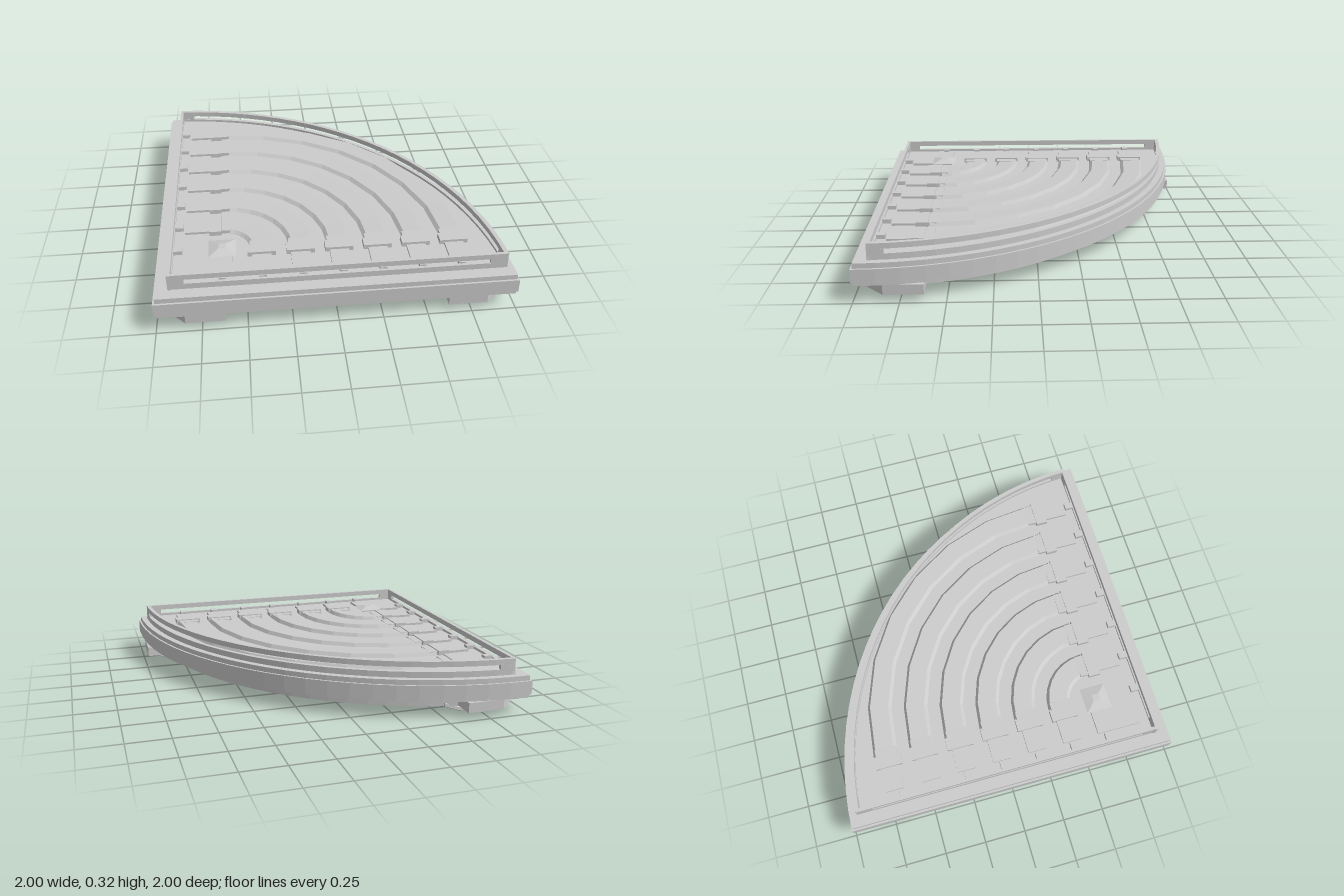
import * as THREE from 'three';

const flat = new THREE.MeshStandardMaterial({ color: 0xcccccc, flatShading: true });
const smooth = new THREE.MeshStandardMaterial({ color: 0xcccccc });

// Quarter disc outline: corner at (-1, z 1), straight sides inset by s, arc radius R
function quarter(s, R, n = 24) {
  const a = Math.asin(s / R), pts = [new THREE.Vector2(-1 + s, -1 + s)];
  for (let i = 0; i <= n; i++) {
    const t = a + (Math.PI / 2 - 2 * a) * i / n;
    pts.push(new THREE.Vector2(-1 + R * Math.cos(t), -1 + R * Math.sin(t)));
  }
  return pts;
}

// Curved strip outline between two radii
function arcStrip(r0, r1, a0, a1, n = 24) {
  const pts = [];
  for (let j = 0; j < 2; j++) {
    for (let i = 0; i <= n; i++) {
      const t = a0 + (a1 - a0) * (j ? n - i : i) / n, r = j ? r0 : r1;
      pts.push(new THREE.Vector2(-1 + r * Math.cos(t), -1 + r * Math.sin(t)));
    }
  }
  return pts;
}

export function createModel() {
  const model = new THREE.Group();

  function add(parent, name, geometry, material = flat) {
    const mesh = new THREE.Mesh(geometry, material);
    mesh.name = name;
    parent.add(mesh);
    return mesh;
  }

  // Horizontal slab from y0 to y1
  function slab(name, outline, y0, y1, hole) {
    const shape = new THREE.Shape(outline);
    if (hole) shape.holes.push(new THREE.Path(hole));
    const g = new THREE.ExtrudeGeometry(shape, { depth: y1 - y0, bevelEnabled: false });
    g.rotateX(-Math.PI / 2).translate(0, y0, 0);
    return add(model, name, g);
  }

  function box(parent, name, x0, x1, y0, y1, z0, z1) {
    const g = new THREE.BoxGeometry(x1 - x0, y1 - y0, z1 - z0);
    g.translate((x0 + x1) / 2, (y0 + y1) / 2, (z0 + z1) / 2);
    return add(parent, name, g);
  }

  // Box plus its copy across the diagonal of the quarter
  function boxPair(parent, name, x0, x1, y0, y1, z0, z1) {
    box(parent, name, x0, x1, y0, y1, z0, z1);
    box(parent, name, -z1, -z0, y0, y1, -x1, -x0);
  }

  // Stacked body
  slab('bottomFrame', quarter(0.09, 1.89), 0.037, 0.062, quarter(0.31, 1.72));
  slab('recessedCore', quarter(0.13, 1.85), 0.062, 0.1);
  slab('bandLip', quarter(0.008, 1.992), 0.1, 0.12);
  slab('band', quarter(0, 2), 0.12, 0.2);
  slab('ledge', quarter(0.012, 1.988), 0.2, 0.23);
  slab('floor', quarter(0.09, 1.94), 0.23, 0.25);

  // Slotted straight walls
  const wall = new THREE.Shape();
  wall.moveTo(-0.92, 0.23).lineTo(0.95, 0.23).lineTo(0.94, 0.325).lineTo(-0.92, 0.325);
  const slot = new THREE.Path();
  slot.moveTo(-0.83, 0.265).lineTo(-0.83, 0.293).lineTo(0.85, 0.293).lineTo(0.85, 0.265);
  wall.holes.push(slot);
  const wallGeometry = new THREE.ExtrudeGeometry(wall, { depth: 0.018, bevelEnabled: false });
  add(model, 'frontWall', wallGeometry).position.z = 0.898;
  const sideWall = add(model, 'sideWall', wallGeometry.clone());
  sideWall.rotation.y = Math.PI / 2;
  sideWall.position.x = -0.917;

  // Curved wall: two rails joined by end posts
  const a0 = 0.045, a1 = Math.PI / 2 - a0;
  slab('curvedLowerRail', arcStrip(1.925, 1.95, a0, a1), 0.23, 0.265);
  slab('curvedUpperRail', arcStrip(1.925, 1.95, a0, a1), 0.293, 0.325);
  slab('curvedWallPost', arcStrip(1.925, 1.95, a0, 0.09, 2), 0.265, 0.293);
  slab('curvedWallPost', arcStrip(1.925, 1.95, a1 - 0.045, a1, 2), 0.265, 0.293);

  // Concentric ribs with a mount at each end
  const ribs = new THREE.Group();
  ribs.name = 'ribs';
  model.add(ribs);
  for (let k = 0; k <= 6; k++) {
    const r = 0.22 * k, z = 0.625 - r;
    boxPair(ribs, 'peg', -0.9, -0.85, 0.25, 0.274, z - 0.02, z + 0.02);
    if (k === 0) continue;
    const profile = [[0.075, 0.25], [0.06, 0.272], [-0.05, 0.268], [-0.07, 0.25]]
      .map(([d, y]) => new THREE.Vector2(r + d, y));
    const rib = new THREE.LatheGeometry(profile, 7, Math.PI / 2, Math.PI / 2);
    rib.translate(-0.62, 0, 0.62);
    add(ribs, 'rib', rib);
    boxPair(ribs, 'ribMount', -0.84, -0.69, 0.25, 0.264, z - 0.055, z + 0.055);
    boxPair(ribs, 'ribClamp', -0.7, -0.63, 0.25, 0.278, z - 0.08, z + 0.08);
    boxPair(ribs, 'ribNeck', -0.63, -0.58, 0.25, 0.272, z - 0.065, z + 0.065);
  }

  // Corner hub with a raised pyramid cap
  box(ribs, 'cornerHub', -0.84, -0.57, 0.25, 0.264, 0.57, 0.84);
  const cap = new THREE.CylinderGeometry(0.03, 0.11, 0.018, 4);
  cap.rotateY(Math.PI / 4).translate(-0.625, 0.273, 0.625);
  add(ribs, 'hubCap', cap);

  // Pipe around the underside opening
  const path = quarter(0.31, 1.72).map(p => new THREE.Vector3(p.x, 0.04, -p.y));
  const loop = new THREE.CatmullRomCurve3(path, true, 'catmullrom', 0);
  add(model, 'undersidePipe', new THREE.TubeGeometry(loop, 180, 0.025, 8, true), smooth);

  // Diagonal rib under the panel
  const brace = add(model, 'undersideBrace', new THREE.BoxGeometry(1.3, 0.012, 0.012));
  brace.position.set(-0.23, 0.06, 0.23);
  brace.rotation.y = Math.PI / 4;

  // Corner feet: bent strap, pad and bracket
  const strap = new THREE.Shape([[-0.21, 0.035], [-0.1, 0.002], [-0.08, 0], [0.09, 0], [0.11, 0.002],
    [0.2, 0.035], [0.2, 0.06], [0.1, 0.025], [-0.09, 0.025], [-0.21, 0.06]]
    .map(([x, y]) => new THREE.Vector2(x, y)));
  const strapGeometry = new THREE.ExtrudeGeometry(strap, { depth: 0.16, bevelThickness: 0.01,
    bevelSize: 0.004, bevelOffset: -0.004, bevelSegments: 2 });
  strapGeometry.translate(0, 0, -0.08);
  for (const [sx, sz] of [[-1, 1], [1, 1], [-1, -1]]) {
    const foot = new THREE.Group();
    foot.name = 'foot';
    foot.position.set(sx * 0.74, 0, sz * 0.75);
    model.add(foot);
    add(foot, 'footStrap', strapGeometry);
    box(foot, 'footPad', -0.09, 0.09, 0.02, 0.06, -0.075, 0.075);
    // Bracket under the band with its outer corner cut off
    const bracket = [[0.62, 0.62], [0.98, 0.62], [0.98, 0.84], [0.84, 0.98], [0.62, 0.98]]
      .map(([x, z]) => new THREE.Vector2(sx * x, -sz * z));
    slab('footBracket', bracket, 0.04, 0.1);
  }
  return model;
}
